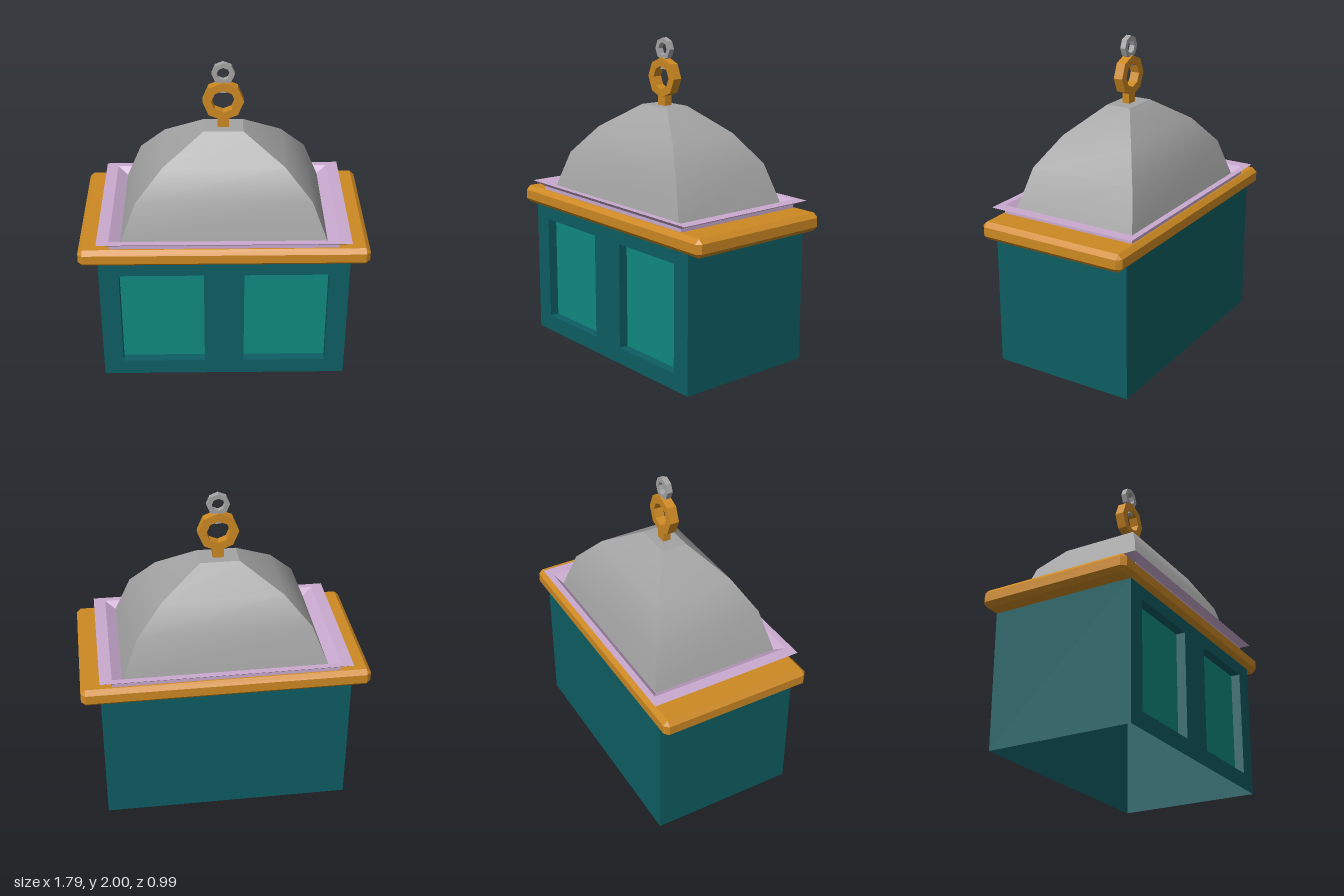
import * as THREE from 'three';
import { mergeGeometries } from 'three/addons/utils/BufferGeometryUtils.js';
import { ConvexGeometry } from 'three/addons/geometries/ConvexGeometry.js';

const material = (name, color, side = THREE.FrontSide) => {
  const m = new THREE.MeshStandardMaterial({ color, side });
  m.name = name;
  return m;
};

// Four-sided loft through rectangles [halfX, halfZ, y]; each side is its own surface
function loft(sections, smooth) {
  const corners = [[-1, 1], [1, 1], [1, -1], [-1, -1]];
  const sides = corners.map((a, k) => {
    const b = corners[(k + 1) % 4];
    const positions = [], index = [];
    sections.forEach(([x, z, y], i) => {
      positions.push(a[0] * x, y, a[1] * z, b[0] * x, y, b[1] * z);
      if (i) {
        const p = 2 * (i - 1);
        index.push(p, p + 1, p + 3, p, p + 3, p + 2);
      }
    });
    let g = new THREE.BufferGeometry();
    g.setAttribute('position', new THREE.Float32BufferAttribute(positions, 3));
    g.setIndex(index);
    if (!smooth) g = g.toNonIndexed();
    g.computeVertexNormals();
    return g;
  });
  return mergeGeometries(sides);
}

// Box with every edge chamfered by c
function chamferedBox(x, y, z, c) {
  const points = [];
  for (const sx of [-1, 1]) for (const sy of [-1, 1]) for (const sz of [-1, 1]) {
    points.push(
      new THREE.Vector3(sx * x, sy * (y - c), sz * (z - c)),
      new THREE.Vector3(sx * (x - c), sy * y, sz * (z - c)),
      new THREE.Vector3(sx * (x - c), sy * (y - c), sz * z));
  }
  return new ConvexGeometry(points);
}

// Flat octagonal ring facing the front
function octagonRing(outer, inner, depth) {
  const octagon = r => Array.from({ length: 8 }, (_, i) =>
    new THREE.Vector2(r * Math.cos(i * Math.PI / 4), r * Math.sin(i * Math.PI / 4)));
  const shape = new THREE.Shape(octagon(outer));
  shape.holes.push(new THREE.Path(octagon(inner)));
  return new THREE.ExtrudeGeometry(shape, { depth, bevelEnabled: false }).translate(0, 0, -depth / 2);
}

const rectangle = (path, x0, y0, x1, y1) =>
  path.moveTo(x0, y0).lineTo(x1, y0).lineTo(x1, y1).lineTo(x0, y1).closePath();

export function createModel() {
  const group = new THREE.Group();
  const wall = material('dark teal wall', 0x0d5e62, THREE.DoubleSide);
  const pane = material('teal window', 0x108a7f, THREE.DoubleSide);
  const gold = material('gold', 0xcd8923);
  const grey = material('grey', 0xa4a4a4);
  const lavender = material('lavender', 0xcaaad0, THREE.DoubleSide);

  const add = (name, geometry, mat, x = 0, y = 0, z = 0, parent = group) => {
    const mesh = new THREE.Mesh(geometry, mat);
    mesh.name = name;
    mesh.position.set(x, y, z);
    parent.add(mesh);
    return mesh;
  };

  // Hollow body, open underneath, with two window openings in the front
  const W = 0.775, D = 0.465, H = 0.87, recess = 0.06;
  const [wx0, wx1, wy0, wy1] = [0.125, 0.65, 0.105, 0.78];
  const front = rectangle(new THREE.Shape(), -W, 0, W, H);
  for (const [a, b] of [[wx0, wx1], [-wx1, -wx0]]) {
    front.holes.push(rectangle(new THREE.Path(), a, wy0, b, wy1));
  }
  add('frontWall', new THREE.ShapeGeometry(front), wall, 0, 0, D);
  add('backWall', new THREE.PlaneGeometry(2 * W, H).rotateY(Math.PI), wall, 0, H / 2, -D);
  for (const s of [-1, 1]) {
    add(s > 0 ? 'leftWall' : 'rightWall',
      new THREE.PlaneGeometry(2 * D, H).rotateY(s * Math.PI / 2), wall, s * W, H / 2, 0);
  }
  add('ceiling', new THREE.PlaneGeometry(2 * W, 2 * D).rotateX(-Math.PI / 2), wall, 0, H, 0);

  // Recessed windows with jambs, sill and head
  const w = wx1 - wx0, h = wy1 - wy0;
  for (const s of [-1, 1]) {
    const win = new THREE.Group();
    win.name = s > 0 ? 'leftWindow' : 'rightWindow';
    win.position.set(s * (wx0 + wx1) / 2, (wy0 + wy1) / 2, D);
    group.add(win);
    add('windowPane', new THREE.PlaneGeometry(w, h), pane, 0, 0, -recess, win);
    for (const t of [-1, 1]) {
      add('windowJamb', new THREE.PlaneGeometry(recess, h).rotateY(-t * Math.PI / 2),
        wall, t * w / 2, 0, -recess / 2, win);
      add(t < 0 ? 'windowSill' : 'windowHead',
        new THREE.PlaneGeometry(w, recess).rotateX(t * Math.PI / 2),
        wall, 0, t * h / 2, -recess / 2, win);
    }
  }

  // Chamfered cornice
  add('cornice', chamferedBox(0.893, 0.057, 0.492, 0.028), gold, 0, 0.918, 0);

  // Flared rim with a trough around the roof
  add('roofRim', loft([
    [0.70, 0.455, 0.97], [0.70, 0.455, 0.997], [0.775, 0.495, 1.028],
    [0.70, 0.455, 1.028], [0.635, 0.415, 0.985],
  ], false), lavender);

  // Four-sided domed roof with a flat top
  add('domeRoof', loft([
    [0.637, 0.417, 0.98], [0.535, 0.355, 1.24], [0.37, 0.245, 1.42], [0.122, 0.082, 1.578],
  ], true), grey);
  add('domeTop', new THREE.PlaneGeometry(0.244, 0.164).rotateX(-Math.PI / 2), grey, 0, 1.578, 0);

  // Finial: post, large ring, stub and small ring
  add('finialPost', new THREE.BoxGeometry(0.07, 0.085, 0.05), gold, 0, 1.6, 0);
  add('largeRing', octagonRing(0.126, 0.073, 0.06), gold, 0, 1.752, 0);
  add('smallRingStub', new THREE.BoxGeometry(0.04, 0.075, 0.034), grey, 0, 1.842, 0);
  add('smallRing', octagonRing(0.07, 0.04, 0.036), grey, 0, 1.93, 0);

  return group;
}
